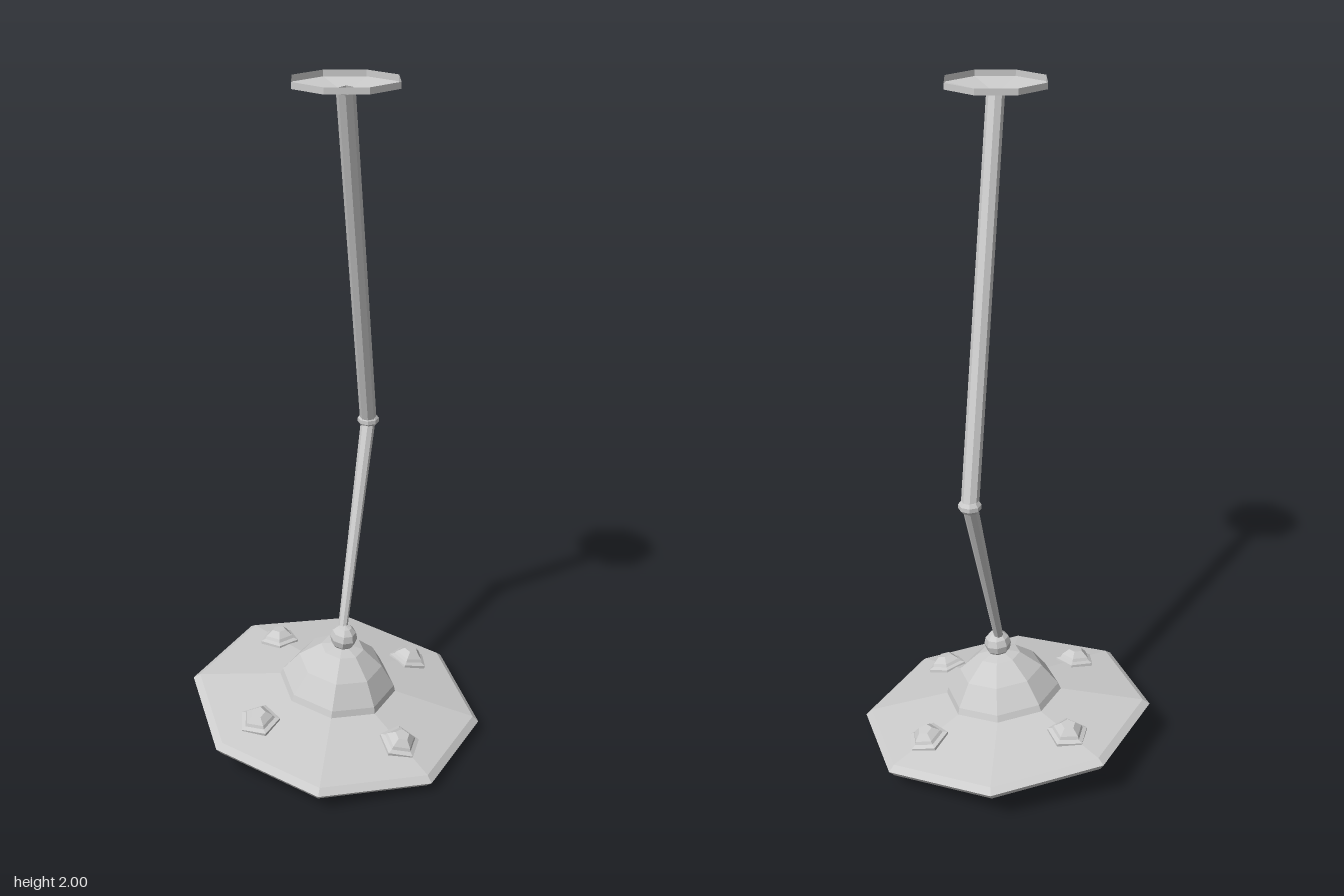
import * as THREE from 'three';

const material = new THREE.MeshStandardMaterial({ color: 0xcccccc, flatShading: true });
const thin = new THREE.MeshStandardMaterial({ color: 0xcccccc, flatShading: true, side: THREE.DoubleSide });
const UP = new THREE.Vector3(0, 1, 0);

// Faceted solid of revolution, profile listed from bottom to top
function lathe(name, profile, sides, phi = 0, mat = material) {
  const points = profile.map(([r, y]) => new THREE.Vector2(r, y));
  const mesh = new THREE.Mesh(new THREE.LatheGeometry(points, sides, phi), mat);
  mesh.name = name;
  return mesh;
}

// Open tapered tube between two points
function rod(name, from, to, rFrom, rTo) {
  const dir = to.clone().sub(from);
  const mesh = new THREE.Mesh(new THREE.CylinderGeometry(rTo, rFrom, dir.length(), 8, 1, true), thin);
  mesh.position.copy(from).add(to).multiplyScalar(0.5);
  mesh.quaternion.setFromUnitVectors(UP, dir.normalize());
  mesh.name = name;
  return mesh;
}

export function createModel() {
  const model = new THREE.Group();
  model.name = 'antennaSaucer';

  // Tilted saucer
  const saucer = new THREE.Group();
  saucer.name = 'saucer';
  saucer.position.y = 0.09;
  saucer.quaternion.setFromUnitVectors(UP, new THREE.Vector3(0.035, 1, 0.12).normalize());
  model.add(saucer);

  const turn = -0.068;
  saucer.add(lathe('hull', [
    [0, -0.063], [0.21, -0.063], [0.43, -0.022], [0.447, -0.002],
    [0.427, 0.014], [0.175, 0.066], [0, 0.066],
  ], 8, turn));
  saucer.add(lathe('dome', [
    [0.182, 0.055], [0.172, 0.085], [0.127, 0.15], [0.065, 0.2], [0, 0.215],
  ], 8, turn));

  // Ball joint on the dome
  const ball = new THREE.Mesh(new THREE.SphereGeometry(0.041, 8, 6), material);
  ball.name = 'ballJoint';
  ball.position.y = 0.236;
  saucer.add(ball);

  // Four pentagonal lamps lying on the slope of the hull
  for (let i = 0; i < 4; i++) {
    const spoke = new THREE.Group();
    spoke.name = 'lampMount';
    spoke.rotation.y = turn + i * Math.PI / 2;
    const lamp = lathe('lamp', [
      [0.062, -0.015], [0.062, 0.004], [0.048, 0.009], [0.043, 0.018], [0.022, 0.035], [0, 0.035],
    ], 5);
    lamp.position.set(0, 0.041, 0.297);
    lamp.rotation.x = 0.2;
    spoke.add(lamp);
    saucer.add(spoke);
  }

  // Jointed mast
  const foot = new THREE.Vector3(0.005, 0.34, 0.025);
  const elbow = new THREE.Vector3(0.237, 0.93, -0.109);
  const top = new THREE.Vector3(-0.063, 1.97, 0.106);
  model.add(rod('lowerMast', foot, elbow, 0.014, 0.022));
  model.add(rod('upperMast', elbow, top, 0.025, 0.025));
  const collar = lathe('elbowCollar', [
    [0, -0.016], [0.024, -0.016], [0.032, -0.006], [0.032, 0.006], [0.024, 0.016], [0, 0.016],
  ], 8);
  collar.position.copy(elbow);
  model.add(collar);

  // Shallow open dish at the mast head
  const dish = lathe('dish', [[0.024, 1.965], [0.146, 1.983], [0.146, 2]], 8, 0.44, thin);
  dish.position.set(top.x, 0, top.z);
  model.add(dish);

  return model;
}
